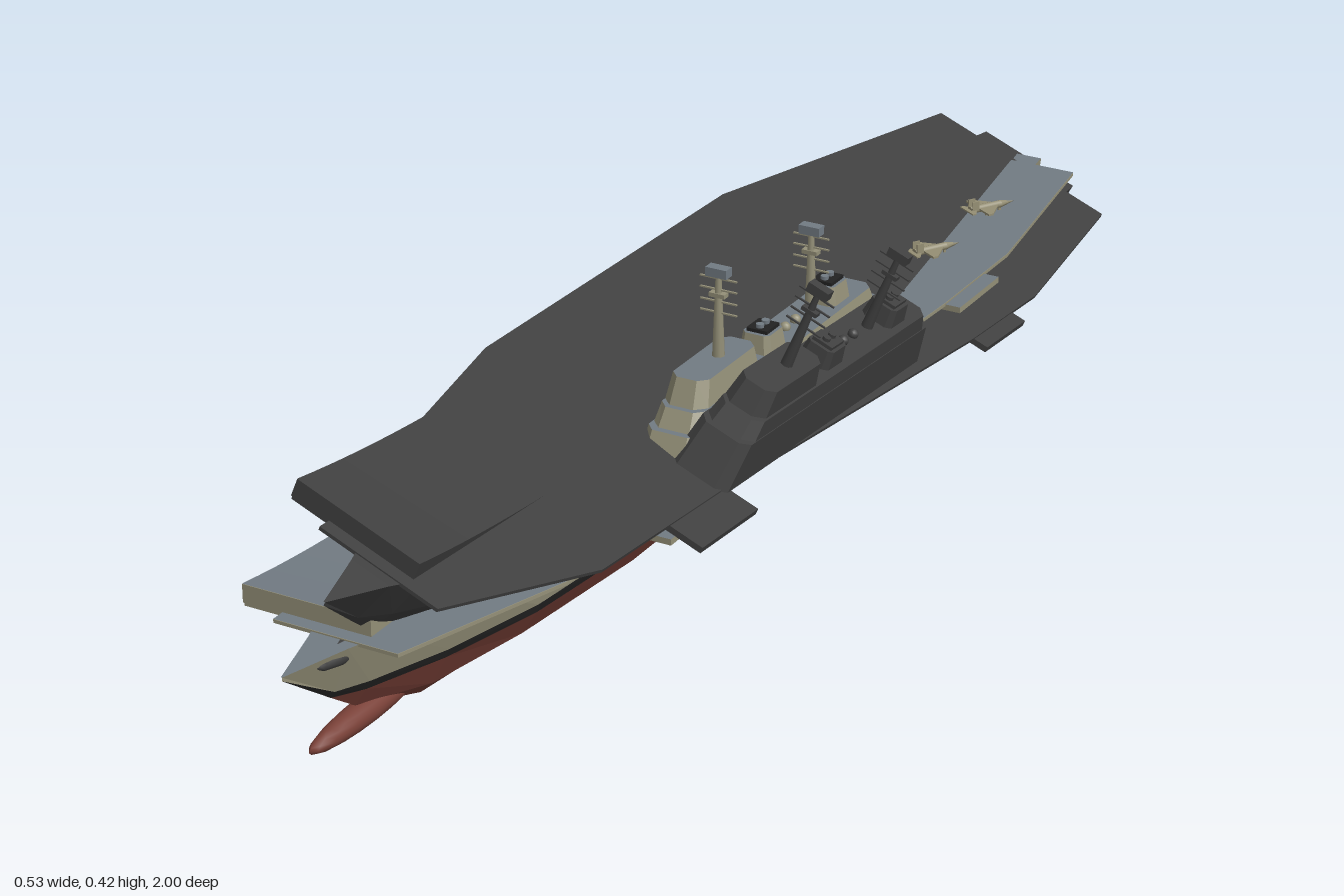
import * as THREE from 'three';

const paint = (name, color) => new THREE.MeshStandardMaterial({ name, color });
const COLORS = {
  hull: paint('hull beige', 0x949078), deck: paint('deck grey', 0x727b83), red: paint('underwater red', 0x7a4138),
  black: paint('waterline black', 0x222222), plane: paint('aircraft tan', 0x958f74),
};
const charcoal = paint('charcoal', 0x404040);
const DARK = { hull: charcoal, deck: charcoal, red: charcoal, black: charcoal };
const CX = -0.038; // hull centreline

function add(parent, name, geo, mat, x = 0, y = 0, z = 0) {
  const m = new THREE.Mesh(geo, mat);
  m.name = name;
  m.position.set(x, y, z);
  parent.add(m);
  return m;
}
const box = (w, h, d) => new THREE.BoxGeometry(w, h, d);

// Shape from [x, z] points, to be laid flat
const flatShape = (pts) => new THREE.Shape(pts.map(([x, z]) => new THREE.Vector2(x, -z)));
const slab = (pts, y0, y1) =>
  new THREE.ExtrudeGeometry(flatShape(pts), { depth: y1 - y0, bevelEnabled: false }).rotateX(-Math.PI / 2).translate(0, y0, 0);

// Block with chamfered corners whose top is drawn in at the sides, front and back
function block(x0, x1, z0, z1, y0, y1, side, front, back, c = 0.015) {
  const geo = slab([[x0 + c, z0], [x1 - c, z0], [x1, z0 + c], [x1, z1 - c], [x1 - c, z1], [x0 + c, z1], [x0, z1 - c], [x0, z0 + c]], y0, y1);
  const p = geo.attributes.position;
  for (let i = 0; i < p.count; i++) {
    if (p.getY(i) < (y0 + y1) / 2) continue;
    const u = (p.getX(i) - x0) / (x1 - x0), v = (p.getZ(i) - z0) / (z1 - z0);
    p.setX(i, p.getX(i) + side * (1 - 2 * u));
    p.setZ(i, p.getZ(i) + back * (1 - v) - front * v);
  }
  geo.computeVertexNormals();
  return geo;
}

// Hull stations: z, keel height, half widths at keel, bilge, waterline, band top, deck
const STATIONS = [
  [-0.99, 0.042, [0.03, 0.045, 0.07, 0.074, 0.084]],
  [-0.8, 0.018, [0.03, 0.05, 0.088, 0.092, 0.102]],
  [-0.55, 0.004, [0.037, 0.075, 0.1, 0.103, 0.113]],
  [-0.1, 0.002, [0.037, 0.084, 0.104, 0.107, 0.115]],
  [0.3, 0.002, [0.037, 0.084, 0.104, 0.107, 0.115]],
  [0.55, 0.002, [0.03, 0.062, 0.085, 0.089, 0.105]],
  [0.72, 0.004, [0.014, 0.032, 0.055, 0.06, 0.082]],
  [0.85, 0.045, [0.002, 0.002, 0.02, 0.026, 0.048]],
  [0.9, 0.08, [0.001, 0.001, 0.001, 0.007, 0.03]],
  [1.0, 0.152, [0.001, 0.001, 0.001, 0.001, 0.001]],
].map(([z, k, half]) => {
  const wl = 0.055 + 0.03 * Math.max(0, (z - 0.3) / 0.7) ** 2;
  return { z, half, y: [k, 0.022, wl, wl + 0.013, 0.157].map((v) => Math.max(k, v)) };
});

function hullGeometry(from, to, bottom, lid) {
  const pos = [];
  const pt = (s, l, side) => [side * s.half[l], s.y[l], s.z];
  const quad = (a, b, c, d) => pos.push(...a, ...b, ...c, ...a, ...c, ...d);
  for (let i = 0; i < STATIONS.length - 1; i++) {
    const s = STATIONS[i], t = STATIONS[i + 1];
    for (let l = from; l < to; l++) {
      quad(pt(s, l, 1), pt(s, l + 1, 1), pt(t, l + 1, 1), pt(t, l, 1));
      quad(pt(t, l, -1), pt(t, l + 1, -1), pt(s, l + 1, -1), pt(s, l, -1));
    }
    if (bottom) quad(pt(s, 0, -1), pt(s, 0, 1), pt(t, 0, 1), pt(t, 0, -1));
    if (lid) quad(pt(t, 4, -1), pt(t, 4, 1), pt(s, 4, 1), pt(s, 4, -1));
  }
  // Transom
  const s = STATIONS[0];
  for (let l = from; l < to; l++) quad(pt(s, l, -1), pt(s, l + 1, -1), pt(s, l + 1, 1), pt(s, l, 1));
  const geo = new THREE.BufferGeometry();
  geo.setAttribute('position', new THREE.Float32BufferAttribute(pos, 3));
  geo.computeVertexNormals();
  return geo;
}

function createMast(c, height) {
  const g = new THREE.Group();
  g.name = 'mast';
  add(g, 'mastPole', new THREE.CylinderGeometry(0.004, 0.009, height, 8), c.hull, 0, height / 2, 0);
  add(g, 'radarBox', box(0.032, 0.013, 0.016), c.deck, 0, height, 0);
  [0.18, 0.31, 0.45, 0.58].forEach((f) => add(g, 'yard', box(0.056, 0.002, 0.003), c.hull, 0, height * (1 - f) + 0.012, 0));
  add(g, 'mastPlatform', box(0.024, 0.006, 0.012), c.hull, 0, height * 0.73, 0);
  return g;
}

function createAircraft(c) {
  const g = new THREE.Group();
  g.name = 'aircraft';
  add(g, 'fuselage', new THREE.CylinderGeometry(0.006, 0.006, 0.055, 8).rotateX(Math.PI / 2), c.plane, 0, 0.011, -0.008);
  add(g, 'nose', new THREE.ConeGeometry(0.006, 0.025, 8).rotateX(Math.PI / 2), c.plane, 0, 0.011, 0.032);
  add(g, 'wings', slab([[0, 0.018], [0.032, -0.014], [0.032, -0.022], [-0.032, -0.022], [-0.032, -0.014]], 0.01, 0.013), c.plane);
  add(g, 'tailplane', slab([[0, -0.022], [0.018, -0.036], [0.018, -0.042], [-0.018, -0.042], [-0.018, -0.036]], 0.01, 0.012), c.plane);
  for (const s of [-1, 1]) {
    add(g, 'fin', box(0.002, 0.014, 0.012), c.plane, s * 0.006, 0.019, -0.029);
    add(g, 'wheel', box(0.003, 0.008, 0.004), c.plane, s * 0.008, 0.005, -0.01);
  }
  add(g, 'noseWheel', box(0.003, 0.008, 0.004), c.plane, 0, 0.005, 0.018);
  return g;
}

function createShip(name, c) {
  const g = new THREE.Group();
  g.name = name;

  // Hull in its painted bands
  add(g, 'lowerHull', hullGeometry(0, 2, true, false), c.red, CX);
  add(g, 'waterlineBand', hullGeometry(2, 3, false, false), c.black, CX);
  add(g, 'upperHull', hullGeometry(3, 4, false, false), c.hull, CX);
  add(g, 'hullTop', hullGeometry(4, 4, false, true), c.deck, CX);
  const bulb = add(g, 'bowBulb', new THREE.SphereGeometry(1, 16, 12), c.red, CX, 0.026, 0.82);
  bulb.scale.set(0.019, 0.018, 0.13);
  for (const s of [-1, 1]) {
    add(g, 'rudder', box(0.008, 0.045, 0.07), c.red, CX + s * 0.035, 0.025, -0.87);
    add(g, 'propellerShaft', new THREE.CylinderGeometry(0.004, 0.004, 0.16, 8).rotateX(Math.PI / 2), c.red, CX + s * 0.035, 0.016, -0.75);
  }

  // Flight deck
  const outline = [[-0.193, -0.955], [-0.262, -0.35], [-0.235, 0.35], [-0.19, 0.57], [-0.188, 0.865], [-0.13, 0.865], [-0.13, 0.885],
    [0.055, 0.885], [0.137, 0.62], [0.14, 0.3], [0.168, -0.4], [0.168, -0.61], [0.118, -0.955]];
  add(g, 'flightDeck', slab(outline, 0.154, 0.159), c.hull);
  add(g, 'deckSurface', new THREE.ShapeGeometry(flatShape(outline)).rotateX(-Math.PI / 2), c.deck, 0, 0.1597, 0);
  for (const [z, d] of [[-0.465, 0.13], [0.375, 0.15]]) add(g, 'sideLift', box(0.085, 0.009, d), [c.hull, c.hull, c.deck, c.hull, c.hull, c.hull], 0.149, 0.152, z);

  // Ski-jump: curved wedge extruded across the bow
  const ramp = new THREE.Shape();
  ramp.moveTo(0.56, 0.158);
  ramp.lineTo(0.865, 0.158);
  ramp.lineTo(0.865, 0.184);
  ramp.quadraticCurveTo(0.72, 0.163, 0.56, 0.16);
  const rampGeo = new THREE.ExtrudeGeometry(ramp, { depth: 0.193, bevelEnabled: false, curveSegments: 8 }).rotateY(-Math.PI / 2);
  add(g, 'skiJump', rampGeo, c.hull, 0.003);
  const strip = new THREE.PlaneGeometry(0.193, 0.305, 1, 8).rotateX(-Math.PI / 2);
  const p = strip.attributes.position;
  for (let i = 0; i < p.count; i++) {
    const t = p.getZ(i) / 0.305 + 0.5;
    const q = 2 * t * (1 - t);
    p.setY(i, 0.16 * (1 - t) ** 2 + 0.163 * q + 0.184 * t * t + 0.0007);
    p.setZ(i, 0.56 * (1 - t) ** 2 + 0.72 * q + 0.865 * t * t);
  }
  strip.computeVertexNormals();
  add(g, 'skiJumpSurface', strip, c.deck, -0.0935);

  // Island, stepped back tier by tier
  const tiered = [c.deck, c.hull];
  add(g, 'islandBase', block(0.055, 0.147, -0.265, 0.325, 0.157, 0.222, 0.006, 0.03, 0.015), tiered);
  add(g, 'islandUpper', block(0.063, 0.14, -0.24, 0.285, 0.222, 0.247, 0.004, 0.015, 0.01), tiered);
  add(g, 'bridge', block(0.067, 0.133, 0.09, 0.262, 0.247, 0.283, 0.005, 0.015, 0.008), tiered);
  for (const z of [-0.155, 0.035]) {
    add(g, 'funnel', block(0.075, 0.125, z - 0.028, z + 0.028, 0.247, 0.274, 0.004, 0.004, 0.004, 0.008), tiered);
    add(g, 'funnelCap', box(0.032, 0.006, 0.036), c.black, 0.1, 0.276, z);
    for (const dz of [-0.008, 0.008]) add(g, 'exhaust', new THREE.CylinderGeometry(0.006, 0.006, 0.008, 8), c.deck, 0.1, 0.28, z + dz);
  }
  for (const [z, y, h] of [[0.16, 0.282, 0.124], [-0.105, 0.246, 0.124]]) {
    const mast = createMast(c, h);
    mast.position.set(0.1, y, z);
    g.add(mast);
  }
  for (const z of [-0.06, -0.03]) add(g, 'radarDome', new THREE.SphereGeometry(0.008, 10, 8), c.hull, 0.1, 0.25, z);
  return g;
}

export function createModel() {
  const model = new THREE.Group();
  model.name = 'carrierPair';

  const ship = createShip('paintedCarrier', COLORS);
  for (const [x, z, yaw] of [[0.075, -0.74, 2.6], [0.075, -0.55, 2.6], [-0.19, -0.59, 2.4], [-0.205, -0.37, 2.4]]) {
    const plane = createAircraft(COLORS);
    plane.position.set(x, 0.16, z);
    plane.rotation.y = yaw;
    ship.add(plane);
  }
  model.add(ship);

  // Second hull, heeled to its left side with the bow raised
  const heeled = createShip('charcoalCarrier', DARK);
  heeled.rotation.set(-0.061, 0, -0.375);
  heeled.position.y = 0.05;
  model.add(heeled);
  return model;
}
